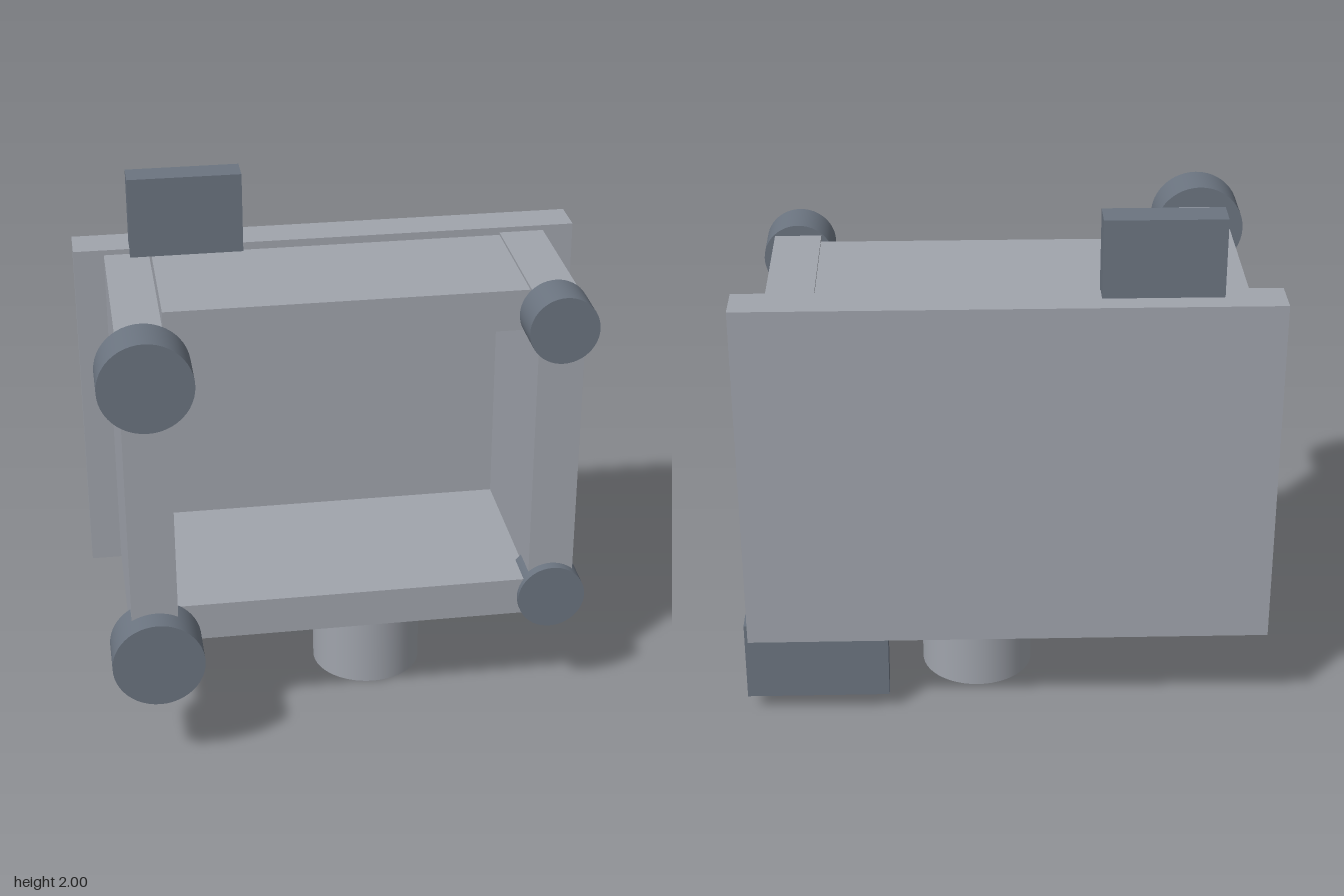
import * as THREE from 'three';

export function createModel() {
  const model = new THREE.Group();
  const lightGrey = new THREE.MeshStandardMaterial({ color: 0xa0a4ac });
  lightGrey.name = 'lightGrey';
  const slateGrey = new THREE.MeshStandardMaterial({ color: 0x6b7480 });
  slateGrey.name = 'slateGrey';

  // Box given by its [min, max] extents on each axis
  function box(name, material, [x0, x1], [y0, y1], [z0, z1]) {
    const mesh = new THREE.Mesh(new THREE.BoxGeometry(x1 - x0, y1 - y0, z1 - z0), material);
    mesh.position.set((x0 + x1) / 2, (y0 + y1) / 2, (z0 + z1) / 2);
    mesh.name = name;
    model.add(mesh);
  }

  // Cylinder, upright or turned to face the front
  function cylinder(name, material, radius, length, position, facingFront) {
    const mesh = new THREE.Mesh(new THREE.CylinderGeometry(radius, radius, length, 48), material);
    if (facingFront) mesh.rotation.x = Math.PI / 2;
    mesh.position.set(...position);
    mesh.name = name;
    model.add(mesh);
  }

  // Back plate and the four walls of the open frame
  box('backPlate', lightGrey, [-0.98, 0.955], [0.365, 1.71], [-0.57, -0.415]);
  box('rightWall', lightGrey, [-0.865, -0.695], [0.39, 1.69], [-0.415, 0.485]);
  box('leftWall', lightGrey, [0.665, 0.837], [0.39, 1.69], [-0.415, 0.285]);
  box('topWall', lightGrey, [-0.685, 0.665], [1.52, 1.68], [-0.415, 0.12]);
  box('bottomWall', lightGrey, [-0.685, 0.665], [0.4, 0.55], [-0.415, 0.3]);

  // Round feet on the front corners, larger on the deeper wall
  for (const y of [0.475, 1.6]) {
    const level = y > 1 ? 'upper' : 'lower';
    cylinder(level + 'RightFoot', slateGrey, 0.17, 0.17, [-0.777, y, 0.487], true);
    cylinder(level + 'LeftFoot', slateGrey, 0.13, 0.168, [0.75, y, 0.24], true);
  }

  // Peg under the frame
  cylinder('peg', lightGrey, 0.2135, 0.4, [0.098, 0.2, -0.118], false);

  // Mounting tabs
  box('topTab', slateGrey, [-0.767, -0.338], [1.69, 2], [-0.49, -0.377]);
  box('bottomTab', slateGrey, [0.437, 0.975], [0.072, 0.387], [-0.493, -0.392]);

  return model;
}
